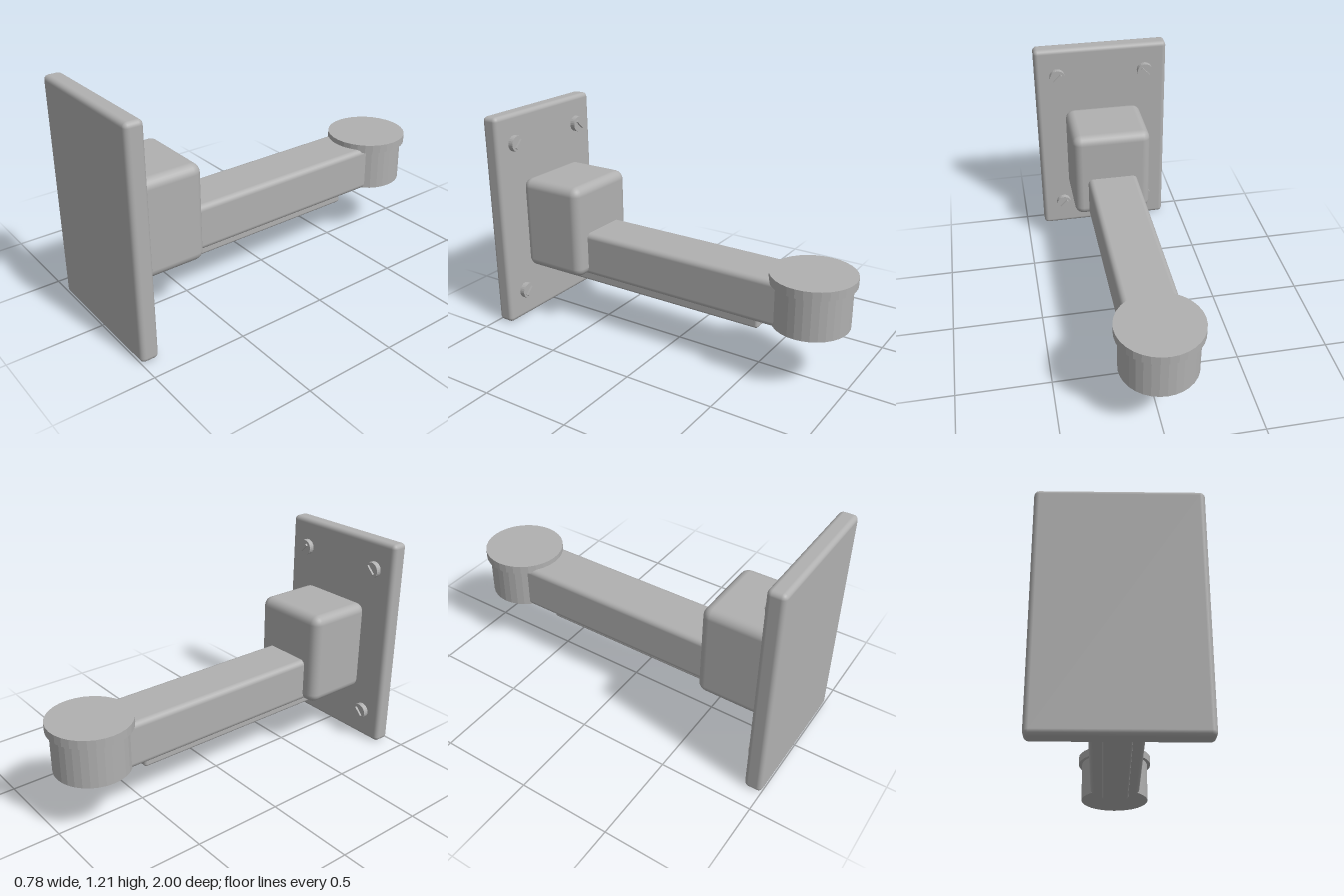
import * as THREE from 'three';
import { RoundedBoxGeometry } from 'three/addons/geometries/RoundedBoxGeometry.js';

export function createModel() {
  const group = new THREE.Group();
  const grey = new THREE.MeshStandardMaterial({ color: 0xb0b0b0 });
  grey.name = 'grey';

  const add = (name, geometry, x, y, z, parent = group) => {
    const mesh = new THREE.Mesh(geometry, grey);
    mesh.name = name;
    mesh.position.set(x, y, z);
    parent.add(mesh);
    return mesh;
  };

  // Rounded box given by its width and its y and z limits, centred on x
  const block = (name, width, y0, y1, z0, z1, radius) =>
    add(name, new RoundedBoxGeometry(width, y1 - y0, z1 - z0, 3, radius), 0, (y0 + y1) / 2, (z0 + z1) / 2);

  // Faceted cylinder
  const disc = (radius, height, sides) => {
    const g = new THREE.CylinderGeometry(radius, radius, height, sides).toNonIndexed();
    g.computeVertexNormals();
    return g;
  };

  block('wallPlate', 0.78, 0, 1.21, 0.905, 1, 0.025);
  block('mountBlock', 0.45, 0.31, 0.835, 0.515, 0.905, 0.05);
  block('arm', 0.29, 0.31, 0.56, -0.68, 0.6, 0.03);
  block('underRail', 0.15, 0.235, 0.312, -0.52, 0.68, 0.015);

  // Round end of the arm with its wider lid
  add('endCup', disc(0.2, 0.23, 32), 0, 0.43, -0.78);
  add('endCap', disc(0.22, 0.047, 32), 0, 0.5665, -0.78);

  // Four screws on the back of the plate, each with a raised diagonal bar
  for (const side of [-1, 1]) {
    for (const y of [0.165, 1.047]) {
      const screw = new THREE.Group();
      screw.name = 'screw';
      screw.position.set(side * 0.26, y, 0.905);
      const head = add('screwHead', disc(0.045, 0.03, 24), 0, 0, -0.015, screw);
      head.rotation.x = Math.PI / 2;
      const bar = add('screwBar', new THREE.BoxGeometry(0.06, 0.014, 0.014), 0, 0, -0.036, screw);
      bar.rotation.z = -side * Math.PI / 4;
      group.add(screw);
    }
  }
  return group;
}
